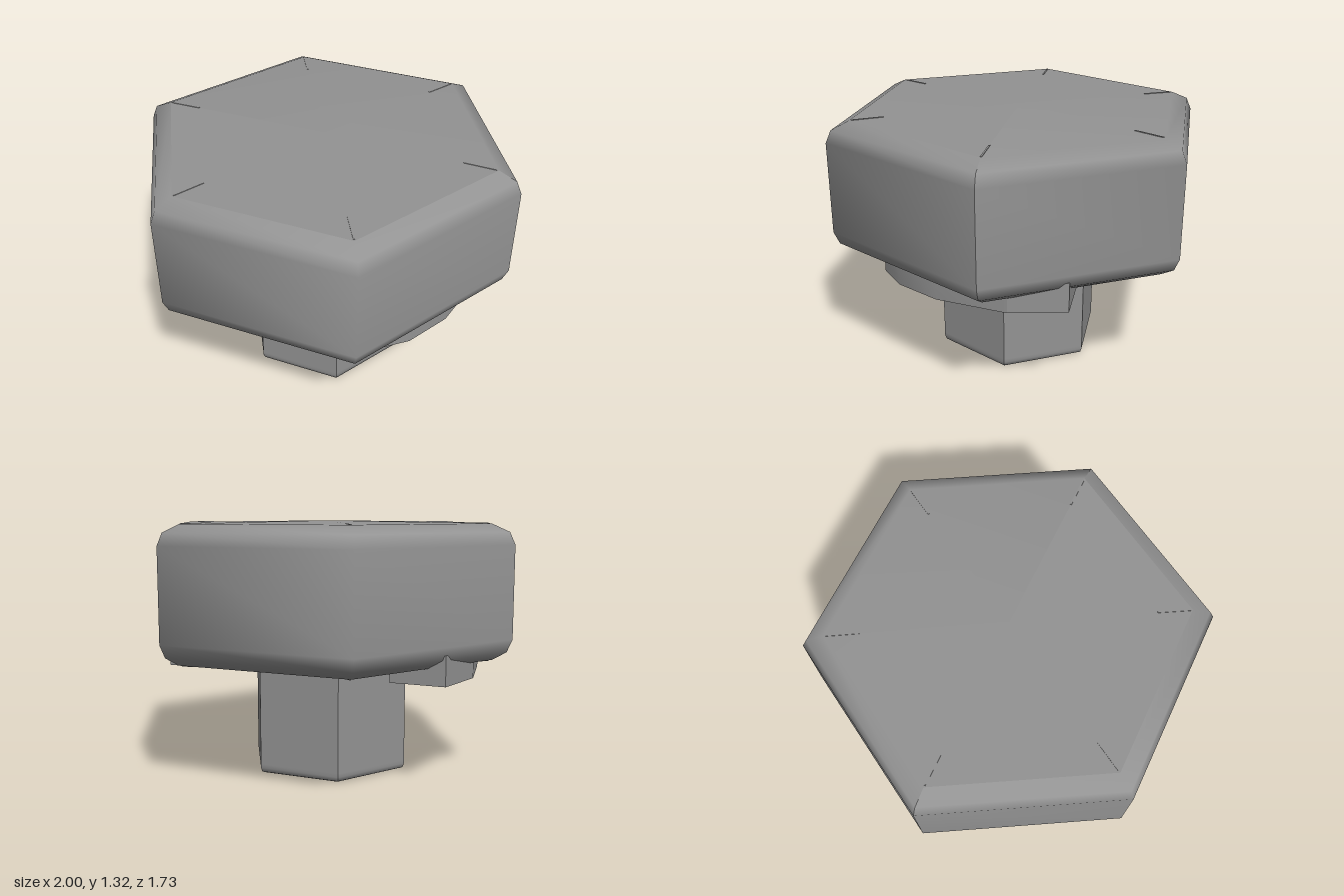
import * as THREE from 'three';
import { toCreasedNormals } from 'three/addons/utils/BufferGeometryUtils.js';

const material = new THREE.MeshStandardMaterial({ color: 0x939393 });

function part(name, geometry) {
  const mesh = new THREE.Mesh(geometry, material);
  mesh.name = name;
  return mesh;
}

// Hexagonal solid from a [corner radius, height] profile; corners lie on the x axis
function hexLathe(profile, sides = 6, start = Math.PI / 2) {
  const points = profile.map(([r, y]) => new THREE.Vector2(r, y));
  return new THREE.LatheGeometry(points, sides, start, sides * Math.PI / 3);
}

// Three neighbouring sides, shaded smoothly around their shared corners
function halfHead(name, profile, start) {
  const geometry = hexLathe(profile, 3, start);
  geometry.computeVertexNormals();
  return part(name, geometry);
}

// Flat-bottomed pad under the head; side is 1 or -1
function pad(name, side) {
  const outline = [
    [0.83, -0.1], [0.76, 0.26], [0.64, 0.48], [0.5, 0.6], [0.33, 0.57],
    [0.34, 0.25], [0.37, 0.22], [0.42, 0.2], [0.46, 0.12], [0.47, -0.03],
    [0.49, -0.38], [0.77, -0.38],
  ];
  const shape = new THREE.Shape(outline.map(([x, z]) => new THREE.Vector2(side * x, z)));
  const geometry = new THREE.ExtrudeGeometry(shape, { depth: 0.15, bevelEnabled: false });
  geometry.rotateX(Math.PI / 2).translate(0, 0.69, 0);
  return part(name, toCreasedNormals(geometry, 0.4));
}

// Hairline ridges running toward the six corners, from [r0, y0] to [r1, y1]
function cornerRidges(name, [r0, y0], [r1, y1]) {
  const ridges = new THREE.Group();
  ridges.name = name;
  const length = Math.hypot(r1 - r0, y1 - y0);
  for (let i = 0; i < 6; i++) {
    const geometry = new THREE.BoxGeometry(length, 0.006, 0.008);
    geometry.rotateZ(Math.atan2(y1 - y0, r1 - r0));
    geometry.translate((r0 + r1) / 2, (y0 + y1) / 2, 0);
    geometry.rotateY(i * Math.PI / 3);
    ridges.add(part('cornerRidge', geometry));
  }
  return ridges;
}

export function createModel() {
  const group = new THREE.Group();
  group.name = 'hexBolt';

  // Head: rounded rims and a shallow cone underneath; the front rim meets the top at an edge
  const rim = [
    [0, 0.54], [0.4, 0.555], [0.7, 0.59], [0.9, 0.622], [0.972, 0.665], [1, 0.73],
    [1, 1.2], [0.972, 1.262], [0.88, 1.303],
  ];
  const top = [[0.88, 1.303], [0, 1.315]];
  group.add(
    halfHead('headFront', rim, -Math.PI / 2),
    halfHead('headFrontTop', top, -Math.PI / 2),
    halfHead('headBack', [...rim, top[1]], Math.PI / 2),
    cornerRidges('topRidges', [0.71, 1.305], [0.87, 1.303]),
    cornerRidges('undersideRidges', [0.6, 0.578], [0.88, 0.619]),
  );

  // Shaft with a small rounded foot
  const shaft = hexLathe([
    [0, 0], [0.39, 0], [0.41, 0], [0.432, 0.008], [0.44, 0.03], [0.44, 0.05], [0.44, 0.6],
  ]);
  group.add(part('shaft', toCreasedNormals(shaft, 0.9)));

  // Pads between head and shaft
  group.add(pad('leftPad', 1), pad('rightPad', -1));
  return group;
}
